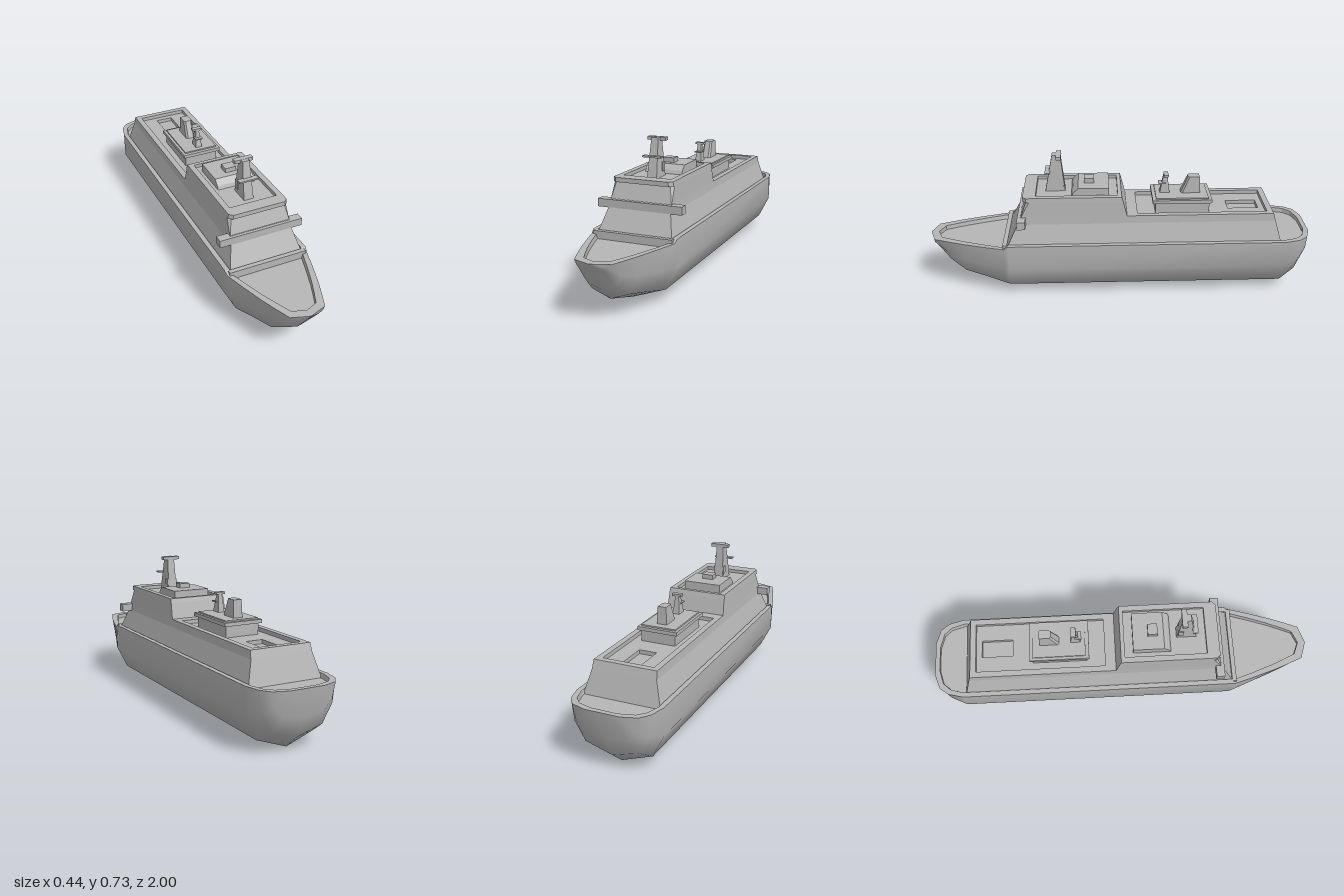
import * as THREE from 'three';

const hullGrey = new THREE.MeshStandardMaterial({ color: 0xb6b6b6 });
hullGrey.name = 'ship grey';

// Skin a list of equally long rows of points
function skin(name, rows, smooth = false) {
  const n = rows[0].length, index = [];
  for (let i = 0; i < rows.length - 1; i++) {
    for (let j = 0; j < n - 1; j++) {
      const a = i * n + j, b = a + n;
      index.push(a, a + 1, b, a + 1, b + 1, b);
    }
  }
  let geo = new THREE.BufferGeometry();
  geo.setAttribute('position', new THREE.Float32BufferAttribute(rows.flat(2), 3));
  geo.setIndex(index);
  if (!smooth) geo = geo.toNonIndexed();
  geo.computeVertexNormals();
  const mesh = new THREE.Mesh(geo, hullGrey);
  mesh.name = name;
  return mesh;
}

// Stack of rectangles [y, halfWidth, zFront, zBack, frontChamfer], closed on top
function stack(name, levels) {
  const last = levels[levels.length - 1];
  const mid = (last[2] + last[3]) / 2;
  const rows = [...levels, [last[0], 0, mid, mid]].map(([y, x, f, b, c = 0]) => [
    [x, y, f - c], [x, y, b], [-x, y, b], [-x, y, f - c], [c - x, y, f], [x - c, y, f], [x, y, f - c],
  ]);
  return skin(name, rows);
}

function block(name, x, y0, y1, zFront, zBack) {
  const mesh = new THREE.Mesh(new THREE.BoxGeometry(2 * x, y1 - y0, zFront - zBack), hullGrey);
  mesh.position.set(0, (y0 + y1) / 2, (zFront + zBack) / 2);
  mesh.name = name;
  return mesh;
}

// Hull stations: z, keel y, chine x/y, side x/y, top x/y
const stations = [
  [1, 0.295, 0, 0.295, 0, 0.295, 0, 0.295],
  [0.97, 0.25, 0.055, 0.26, 0.08, 0.275, 0.09, 0.295],
  [0.9, 0.147, 0.07, 0.17, 0.1, 0.22, 0.118, 0.295],
  [0.82, 0.075, 0.092, 0.11, 0.132, 0.2, 0.148, 0.295],
  [0.7, 0.038, 0.125, 0.085, 0.175, 0.185, 0.186, 0.295],
  [0.6, 0.006, 0.155, 0.062, 0.212, 0.177, 0.215, 0.295],
  [0.575, 0, 0.16, 0.058, 0.22, 0.175, 0.22, 0.312],
  [-0.85, 0, 0.16, 0.058, 0.22, 0.175, 0.22, 0.312],
  [-0.93, 0.07, 0.135, 0.11, 0.187, 0.2, 0.2, 0.312],
  [-0.975, 0.17, 0.11, 0.19, 0.15, 0.24, 0.165, 0.312],
  [-1, 0.312, 0.04, 0.312, 0.07, 0.312, 0.09, 0.312],
];

function buildHull() {
  const hull = new THREE.Group();
  hull.name = 'hull';
  hull.add(skin('hullShell', stations.map(([z, k, cx, cy, sx, sy, tx, ty]) => [
    [tx, ty, z], [sx, sy, z], [cx, cy, z], [0, k, z], [-cx, cy, z], [-sx, sy, z], [-tx, ty, z],
  ]), true));

  // Bulwark rim and sunken deck; the end rows close the rim at bow and stern
  const section = (s, innerDrop, innerIsOuter) => {
    const [z, , , , , , x, y] = s;
    let zi = z;
    if (z > 0.6) zi -= 0.1 * (z - 0.6);
    if (z < -0.85) zi += 0.16 * (-0.85 - z);
    const xi = Math.max(x - 0.025, 0);
    const rim = innerIsOuter ? [x, y, z] : [xi, y, zi];
    const deck = innerIsOuter ? rim : [xi * (innerDrop ? 0.97 : 1), y - innerDrop, zi];
    const flip = ([a, b, c]) => [-a, b, c];
    return [flip([x, y, z]), flip(rim), flip(deck), deck, rim, [x, y, z]];
  };
  const bow = stations[0], stern = stations[stations.length - 1];
  hull.add(skin('bulwarkAndDeck', [
    section(bow, 0, true), section(bow, 0),
    ...stations.map((s) => section(s, 0.022)),
    section(stern, 0), section(stern, 0, true),
  ]));
  hull.add(block('breakwater', 0.205, 0.265, 0.312, 0.605, 0.582));
  return hull;
}

export function createModel() {
  const ship = new THREE.Group();
  ship.name = 'ship';
  ship.add(buildHull());

  // Long lower tier with sunken roof and a hatch well aft
  ship.add(stack('lowerSuperstructure', [
    [0.28, 0.198, 0.59, -0.838],
    [0.41, 0.163, 0.525, -0.802],
    [0.45, 0.16, 0.51, -0.79],
    [0.45, 0.13, -0.09, -0.76],
    [0.43, 0.13, -0.09, -0.76],
    [0.43, 0.045, -0.57, -0.73],
    [0.41, 0.045, -0.57, -0.73],
  ]));

  // Forward house with overhanging parapet
  ship.add(stack('forwardHouse', [
    [0.44, 0.1605, 0.51, -0.038],
    [0.53, 0.156, 0.478, -0.015, 0.015],
    [0.53, 0.157, 0.495, -0.015, 0.018],
    [0.553, 0.155, 0.495, -0.008, 0.018],
    [0.553, 0.126, 0.43, 0.012],
    [0.535, 0.126, 0.43, 0.012],
  ]));
  ship.add(block('bridgeWings', 0.22, 0.409, 0.449, 0.525, 0.482));

  // Forward roof equipment
  ship.add(stack('roofCabin', [[0.53, 0.1, 0.25, 0.055], [0.553, 0.1, 0.24, 0.055], [0.579, 0.1, 0.213, 0.055]]));
  ship.add(block('roofLocker', 0.029, 0.575, 0.603, 0.182, 0.132));

  // Main mast with crossbars
  const mast = new THREE.Group();
  mast.name = 'mainMast';
  mast.add(
    stack('mastTower', [[0.53, 0.026, 0.384, 0.28], [0.73, 0.018, 0.345, 0.302]]),
    block('mastTopBar', 0.048, 0.714, 0.731, 0.325, 0.298),
    block('mastLowerBar', 0.05, 0.637, 0.645, 0.383, 0.355),
    block('mastBracket', 0.028, 0.56, 0.607, 0.315, 0.288),
  );
  ship.add(mast);

  // Aft deckhouse, funnel and small mast
  const aft = new THREE.Group();
  aft.name = 'aftDeckhouse';
  aft.add(
    block('aftCabin', 0.09, 0.425, 0.487, -0.185, -0.465),
    block('aftCabinRoof', 0.104, 0.487, 0.505, -0.17, -0.477),
    block('aftRoofPad', 0.09, 0.5, 0.512, -0.188, -0.46),
    stack('funnel', [[0.505, 0.026, -0.318, -0.422, 0.01], [0.6, 0.022, -0.358, -0.418, 0.008]]),
    stack('aftMast', [[0.505, 0.018, -0.21, -0.264], [0.613, 0.008, -0.232, -0.25]]),
    block('aftMastBar', 0.025, 0.602, 0.613, -0.232, -0.256),
    block('aftMastPlatform', 0.02, 0.56, 0.566, -0.205, -0.24),
  );
  ship.add(aft);
  return ship;
}
